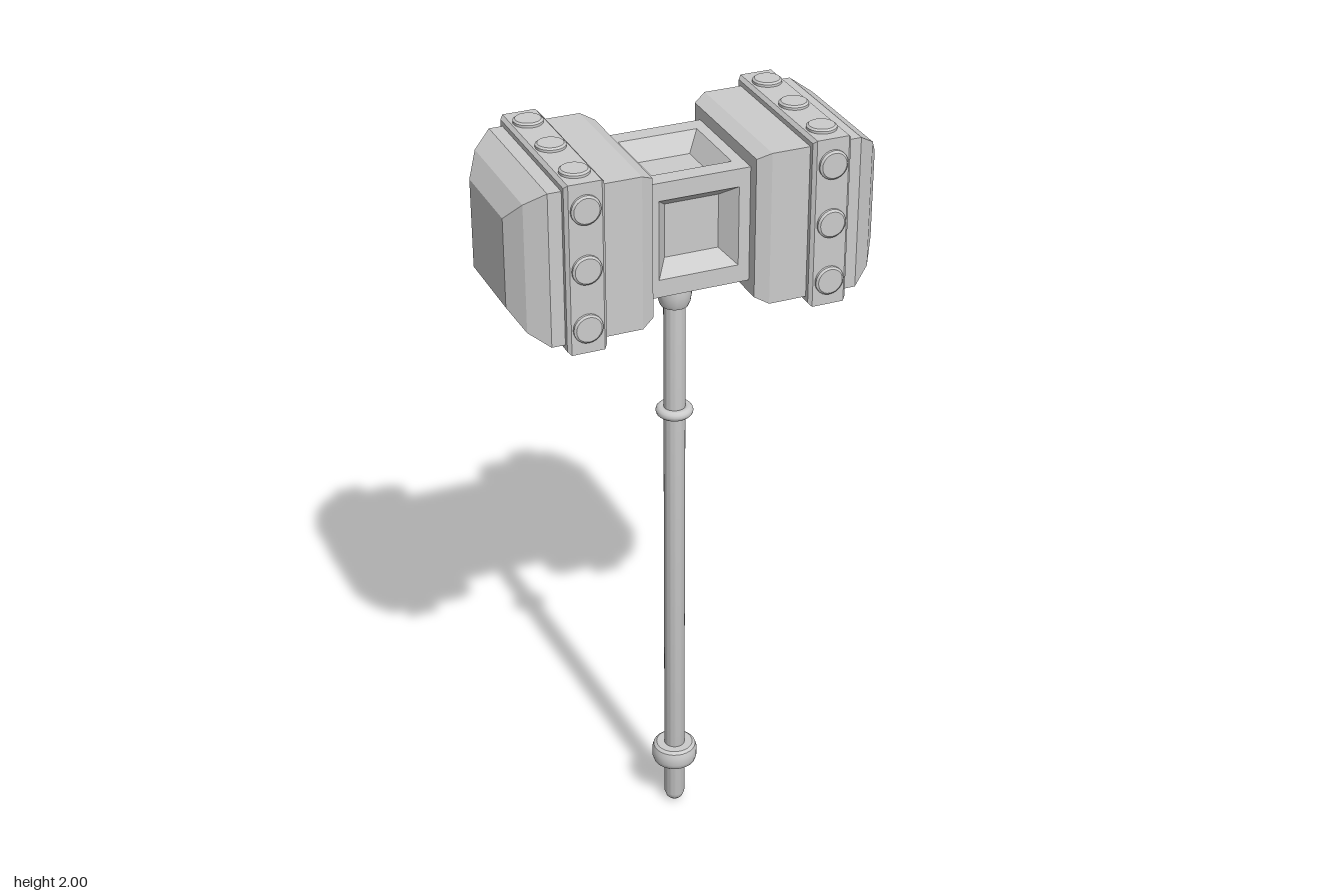
import * as THREE from 'three';
import { toCreasedNormals } from 'three/addons/utils/BufferGeometryUtils.js';

const flat = new THREE.MeshStandardMaterial({ color: 0xcccccc, flatShading: true });
const smooth = new THREE.MeshStandardMaterial({ color: 0xcccccc });
const HEAD_Y = 1.778;

// Square solid along +y from [halfWidth, height] pairs, listed bottom to top
function squareLoft(name, profile) {
  const points = profile.map(([h, y]) => new THREE.Vector2(h * Math.SQRT2, y));
  const mesh = new THREE.Mesh(new THREE.LatheGeometry(points, 4, Math.PI / 4), flat);
  mesh.name = name;
  return mesh;
}

// Round turned part from [radius, height] pairs, listed bottom to top
function turned(name, profile, segments = 28) {
  const points = profile.map(([r, y]) => new THREE.Vector2(r, y));
  const geometry = toCreasedNormals(new THREE.LatheGeometry(points, segments), 0.6);
  const mesh = new THREE.Mesh(geometry, smooth);
  mesh.name = name;
  return mesh;
}

// One striking end, built along +y and laid along +x afterwards
function createHammerEnd(name) {
  const end = new THREE.Group();
  end.name = name;
  end.add(squareLoft('strikingBlock', [
    [0, 0.128], [0.176, 0.128], [0.192, 0.16], [0.192, 0.385],
    [0.16, 0.432], [0.112, 0.464], [0, 0.464],
  ]));
  end.add(squareLoft('band', [
    [0.18, 0.255], [0.204, 0.255], [0.212, 0.263], [0.212, 0.344],
    [0.204, 0.352], [0.18, 0.352],
  ]));

  // Three rivets on each of the four band sides
  for (let side = 0; side < 4; side++) {
    const row = new THREE.Group();
    row.name = 'rivetRow';
    for (const offset of [-0.148, 0, 0.148]) {
      const rivet = turned('rivet', [[0.036, 0], [0.036, 0.018], [0.031, 0.022], [0, 0.022]], 24);
      rivet.rotation.x = Math.PI / 2;
      rivet.position.set(offset, 0.304, 0.2);
      row.add(rivet);
    }
    row.rotation.y = side * Math.PI / 2;
    end.add(row);
  }
  end.rotation.z = -Math.PI / 2;
  return end;
}

// Central block: recessed panels on top, front and back, plain underside
function createCore() {
  const core = new THREE.Group();
  core.name = 'headCore';
  const recessed = [[0.145, 0.145], [0.1, 0.145], [0.068, 0.1], [0, 0.1]];
  const plain = [[0.145, 0.145], [0, 0.145]];
  ['topPanel', 'frontPanel', 'bottomPanel', 'backPanel'].forEach((name, i) => {
    const panel = squareLoft(name, i === 2 ? plain : recessed);
    panel.rotation.x = i * Math.PI / 2;
    core.add(panel);
  });
  return core;
}

export function createModel() {
  const model = new THREE.Group();
  model.name = 'warHammer';

  // Head
  const head = new THREE.Group();
  head.name = 'head';
  head.position.y = HEAD_Y;
  head.add(createCore(), createHammerEnd('leftEnd'));
  const mirrored = new THREE.Group();
  mirrored.name = 'rightSide';
  mirrored.add(createHammerEnd('rightEnd'));
  mirrored.rotation.y = Math.PI;
  head.add(mirrored);
  model.add(head);

  // Handle with rounded tip
  model.add(turned('shaft', [
    [0, 0], [0.013, 0.004], [0.022, 0.013], [0.027, 0.028], [0.027, 1.65],
  ]));

  // Pommel ring
  model.add(turned('pommelRing', [
    [0.025, 0.135], [0.048, 0.135], [0.056, 0.142], [0.06, 0.155],
    [0.06, 0.176], [0.056, 0.189], [0.048, 0.195], [0.025, 0.195],
  ]));

  // Grip ring
  const gripRing = new THREE.Mesh(new THREE.TorusGeometry(0.034, 0.013, 12, 32), smooth);
  gripRing.name = 'gripRing';
  gripRing.rotation.x = Math.PI / 2;
  gripRing.position.y = 1.232;
  model.add(gripRing);

  // Collar beneath the head
  model.add(turned('collar', [
    [0.025, 1.526], [0.034, 1.526], [0.039, 1.538], [0.042, 1.558],
    [0.042, 1.58], [0.039, 1.596], [0.032, 1.607], [0.025, 1.607],
  ]));

  return model;
}
